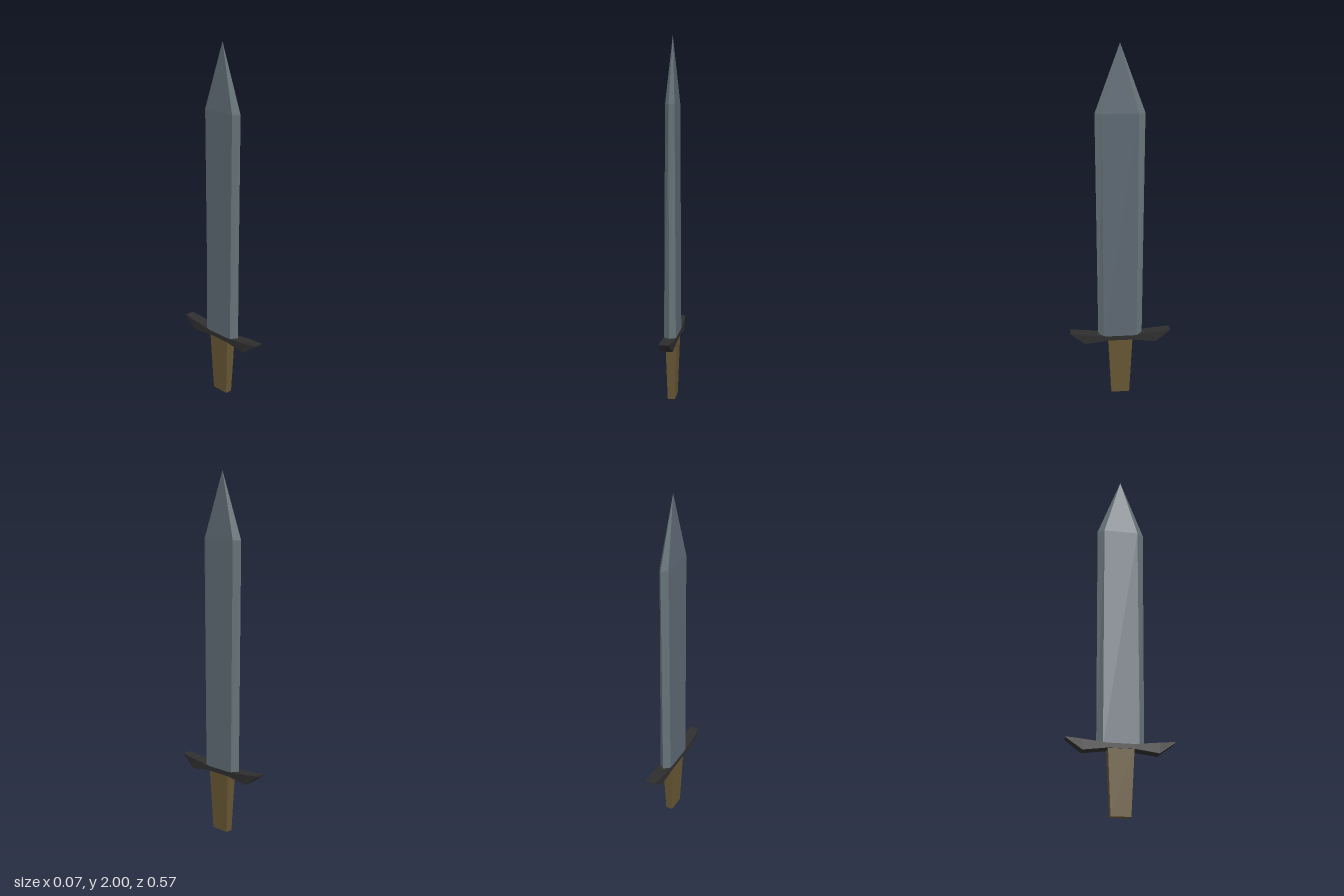
import * as THREE from 'three';

const paint = (name, color) => {
  const m = new THREE.MeshStandardMaterial({ color });
  m.name = name;
  return m;
};

// Skins a list of equal-length rings with flat faces and closes both ends.
// paintOf(side) picks the material index of each side strip.
function loft(rings, paintOf = () => 0) {
  const n = rings[0].length;
  const buckets = [[], []];
  const tri = (bucket, a, b, c) => {
    const area = b.clone().sub(a).cross(c.clone().sub(a)).length();
    if (area > 1e-9) for (const p of [a, b, c]) bucket.push(p.x, p.y, p.z);
  };
  for (let i = 0; i < rings.length - 1; i++) {
    for (let j = 0; j < n; j++) {
      const k = (j + 1) % n, low = rings[i], high = rings[i + 1];
      tri(buckets[paintOf(j)], low[j], low[k], high[k]);
      tri(buckets[paintOf(j)], low[j], high[k], high[j]);
    }
  }
  const first = rings[0], last = rings[rings.length - 1];
  for (let j = 1; j < n - 1; j++) {
    tri(buckets[0], first[0], first[j + 1], first[j]);
    tri(buckets[0], last[0], last[j], last[j + 1]);
  }
  const g = new THREE.BufferGeometry();
  g.setAttribute('position', new THREE.Float32BufferAttribute(buckets.flat(), 3));
  g.addGroup(0, buckets[0].length / 3, 0);
  g.addGroup(buckets[0].length / 3, buckets[1].length / 3, 1);
  g.computeVertexNormals();
  return g;
}

const v = (x, y, z) => new THREE.Vector3(x, y, z);

// Six-sided blade section: flat cheeks at +-t, cutting edges at +-e
const bladeRing = (y, t, flat, e) => [
  v(0, y, e), v(t, y, flat), v(t, y, -flat), v(0, y, -e), v(-t, y, -flat), v(-t, y, flat),
];
// Rectangular section of the grip, across y
const gripRing = (y, x, z) => [v(-x, y, z), v(x, y, z), v(x, y, -z), v(-x, y, -z)];
// Rectangular section of the guard, across z
const guardRing = (z, x, y0, y1) => [v(-x, y0, z), v(x, y0, z), v(x, y1, z), v(-x, y1, z)];

export function createModel() {
  const steel = paint('steel', 0x5c6772);
  const edgeSteel = paint('edge steel', 0x667378);
  const black = paint('black iron', 0x2e2e2e);
  const leather = paint('brown leather', 0x665633);

  const sword = new THREE.Group();
  sword.name = 'sword';
  const add = (name, geometry, materials) => {
    const mesh = new THREE.Mesh(geometry, materials);
    mesh.name = name;
    sword.add(mesh);
  };

  // Blade widens slightly upward, thins, then closes to a point
  add('blade', loft([
    bladeRing(0.35, 0.033, 0.095, 0.125),
    bladeRing(1.64, 0.025, 0.097, 0.134),
    bladeRing(2, 0, 0, 0),
  ], (side) => (side % 3 === 1 ? 0 : 1)), [steel, edgeSteel]);

  // Guard with upswept, narrowed ends
  const half = [[0.285, 0.027, 0.387, 0.392], [0.2, 0.034, 0.325, 0.382], [0.07, 0.034, 0.342, 0.368]];
  add('guard', loft([
    ...half.map(([z, ...s]) => guardRing(-z, ...s)),
    ...half.slice().reverse().map(([z, ...s]) => guardRing(z, ...s)),
  ]), [black, black]);

  // Grip tapers toward the bottom
  add('grip', loft([gripRing(0, 0.02, 0.052), gripRing(0.35, 0.031, 0.069)]), [leather, leather]);

  return sword;
}
